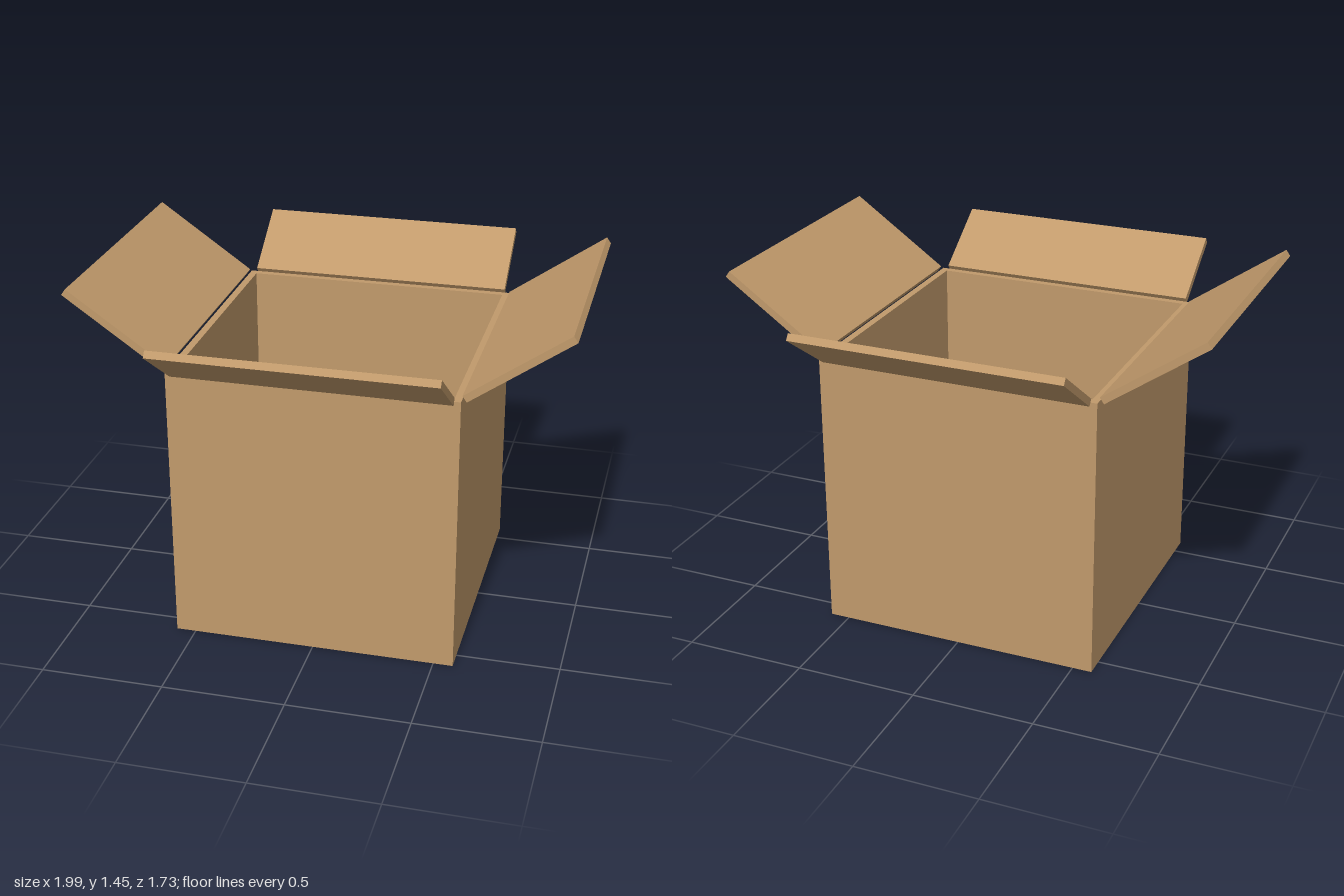
import * as THREE from 'three';

export function createModel() {
  const group = new THREE.Group();
  group.name = 'openBox';
  const cardboard = new THREE.MeshStandardMaterial({ color: 0xc19a6b });
  cardboard.name = 'cardboard';

  const half = 0.58, height = 1.16, t = 0.03, tilt = THREE.MathUtils.degToRad(35);

  const addPanel = (name, parent, size, position) => {
    const mesh = new THREE.Mesh(new THREE.BoxGeometry(...size), cardboard);
    mesh.name = name;
    mesh.position.set(...position);
    parent.add(mesh);
    return mesh;
  };

  // Floor fits between the walls
  addPanel('floor', group, [2 * (half - t), t, 2 * (half - t)], [0, t / 2, 0]);

  // Each side is modelled facing +z, then turned: a wall and its raised flap
  const sides = [
    { name: 'front', turn: 0, flap: 0.327, out: 0.72, up: 1.256 },
    { name: 'left', turn: Math.PI / 2, flap: 0.487, out: 0.788, up: 1.302 },
    { name: 'back', turn: Math.PI, flap: 0.327, out: 0.72, up: 1.256 },
    { name: 'right', turn: -Math.PI / 2, flap: 0.487, out: 0.788, up: 1.302 },
  ];
  for (const { name, turn, flap, out, up } of sides) {
    const side = new THREE.Group();
    side.name = name + 'Side';
    side.rotation.y = turn;
    group.add(side);

    // Front and back walls run full width; the others fit between them
    const isFull = name === 'front' || name === 'back';
    const width = 2 * (isFull ? half : half - t);
    addPanel(name + 'Wall', side, [width, height, t], [0, height / 2, half - t / 2]);

    const lid = addPanel(name + 'Flap', side, [1.11, t, flap], [0, up, out]);
    lid.rotation.x = -tilt;
  }
  return group;
}
